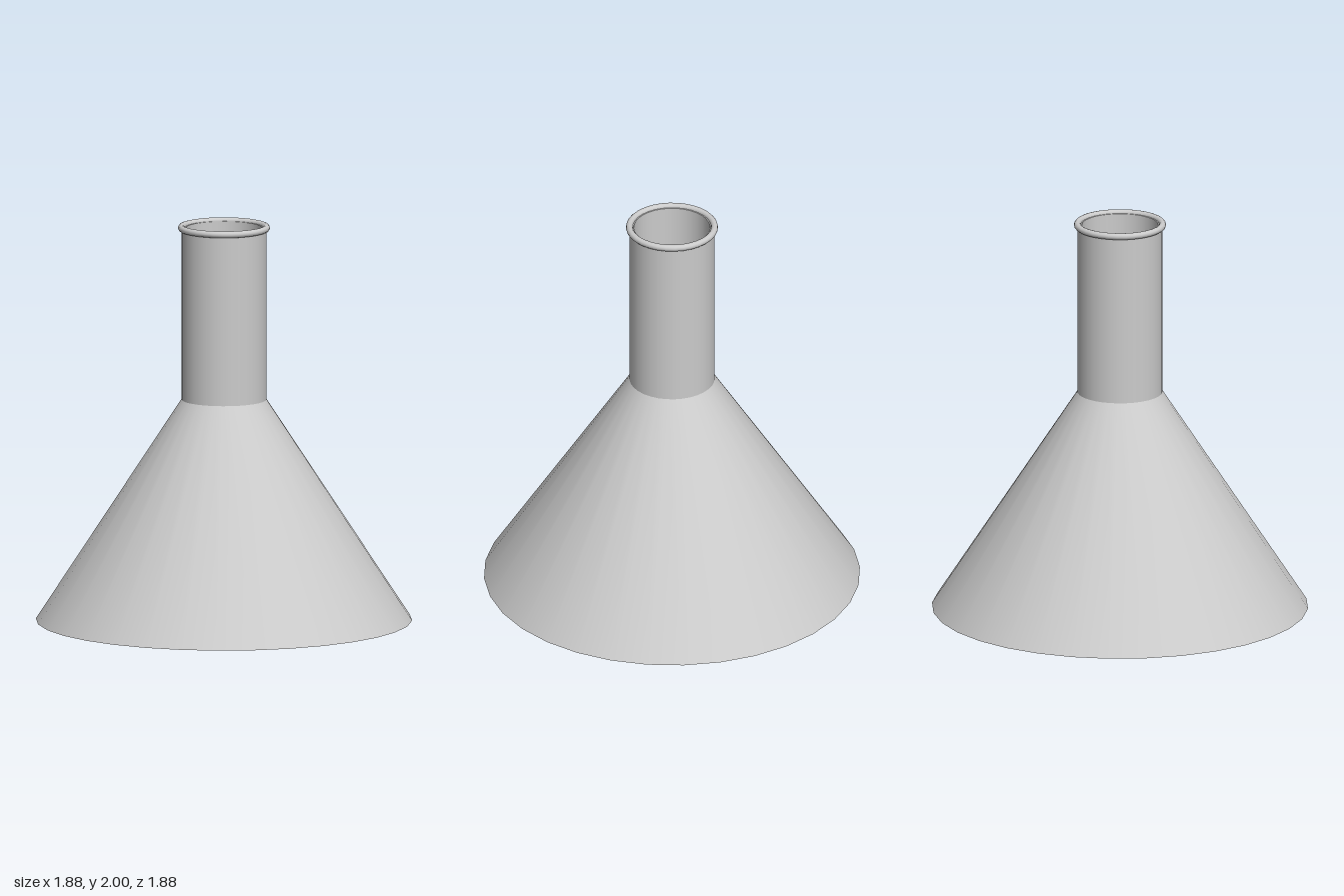
import * as THREE from 'three';

const SIDES = 32;
const BASE_R = 0.94, NECK_R = 0.213, BORE_R = 0.19;
const SHOULDER_Y = 1.115, RIM_Y = 1.983, RIM_TUBE = 0.017;

export function createModel() {
  const group = new THREE.Group();
  const material = new THREE.MeshStandardMaterial({ color: 0xcccccc, side: THREE.DoubleSide });

  // Surface of revolution from [radius, height] points
  const turn = (name, points) => {
    const profile = points.map(([r, y]) => new THREE.Vector2(r, y));
    const mesh = new THREE.Mesh(new THREE.LatheGeometry(profile, SIDES), material);
    mesh.name = name;
    group.add(mesh);
  };

  // Outer shell, split where the edges are sharp
  turn('base', [[0, 0], [BASE_R, 0]]);
  turn('coneBody', [[BASE_R, 0], [NECK_R, SHOULDER_Y]]);
  turn('neck', [[NECK_R, SHOULDER_Y], [NECK_R, RIM_Y]]);

  // Hollow inside
  turn('mouthEdge', [[NECK_R, RIM_Y], [BORE_R, RIM_Y]]);
  turn('neckBore', [[BORE_R, RIM_Y], [BORE_R, SHOULDER_Y]]);
  turn('innerCone', [[BORE_R, SHOULDER_Y], [BASE_R - 0.04, 0.02]]);
  turn('innerFloor', [[BASE_R - 0.04, 0.02], [0, 0.02]]);

  // Rolled lip around the mouth
  const rim = new THREE.Mesh(new THREE.TorusGeometry(NECK_R, RIM_TUBE, 12, SIDES), material);
  rim.name = 'rim';
  rim.rotation.x = Math.PI / 2;
  rim.position.y = RIM_Y;
  group.add(rim);

  return group;
}
